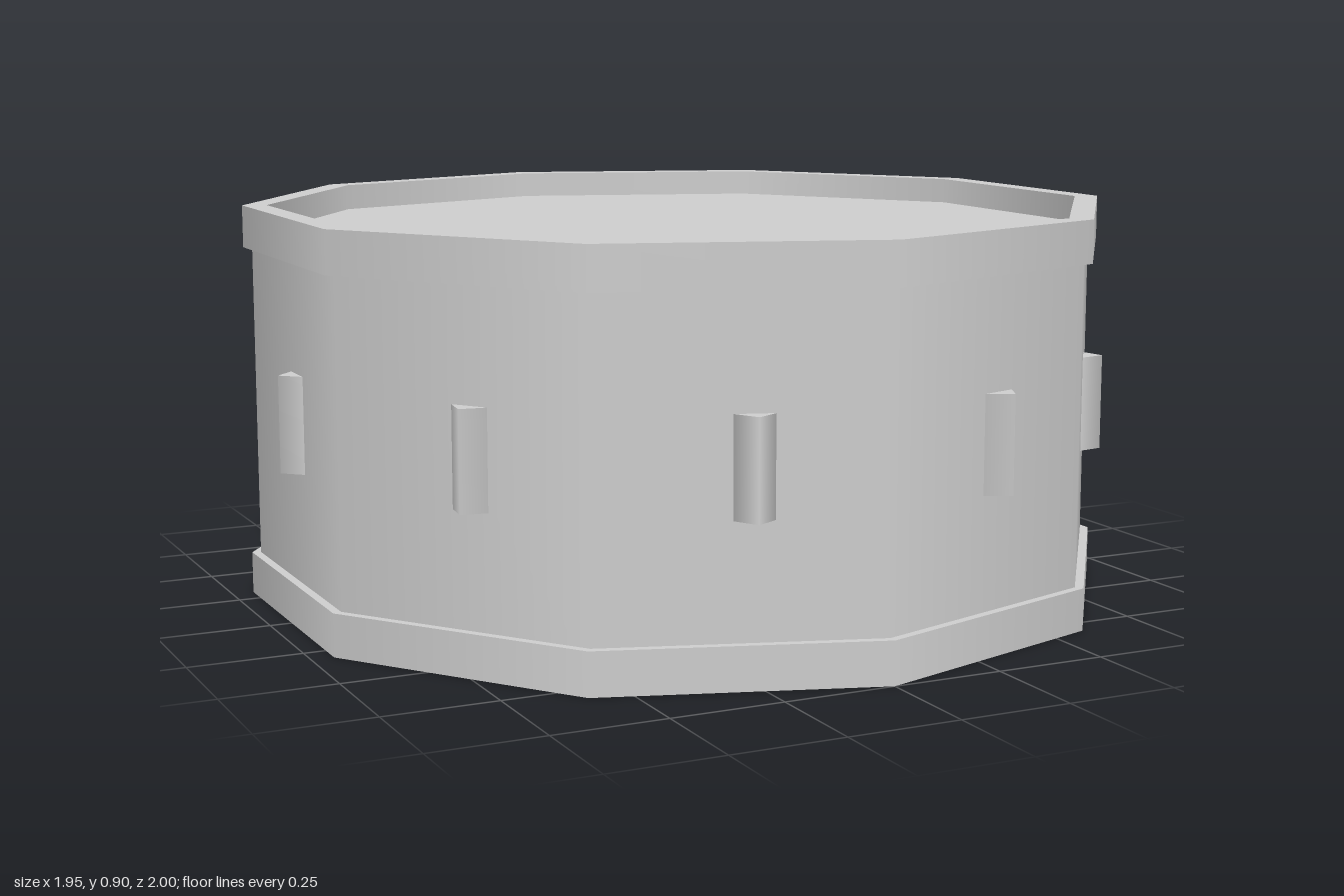
import * as THREE from 'three';
import { mergeGeometries } from 'three/addons/utils/BufferGeometryUtils.js';

const SIDES = 10;

// Lathe each profile edge separately: smooth around the drum, sharp at profile corners
function sharpLathe(points) {
  const edges = [];
  for (let i = 0; i < points.length - 1; i++) {
    const pair = [points[i], points[i + 1]].map(([r, y]) => new THREE.Vector2(r, y));
    edges.push(new THREE.LatheGeometry(pair, SIDES));
  }
  return mergeGeometries(edges);
}

export function createModel() {
  const group = new THREE.Group();
  const grey = new THREE.MeshStandardMaterial({ color: 0xcccccc });
  grey.name = 'light grey';

  const add = (name, geometry, y) => {
    const mesh = new THREE.Mesh(geometry, grey);
    mesh.name = name;
    mesh.position.y = y;
    group.add(mesh);
    return mesh;
  };

  // Closed shell whose end faces are the two recessed drum heads
  add('shell', sharpLathe([[0, 0.06], [0.945, 0.06]]), 0).name = 'bottomHead';
  add('topHead', sharpLathe([[0.945, 0.84], [0, 0.84]]), 0);
  add('shell', sharpLathe([[0.98, 0.06], [0.98, 0.84]]), 0);

  // Hoops standing proud of the shell and the heads
  const hoop = sharpLathe([[0.945, 0], [1, 0], [1, 0.095], [0.945, 0.095], [0.945, 0]]);
  add('bottomHoop', hoop, 0);
  add('topHoop', hoop, 0.805);

  // Four-sided lugs, one near the middle of each side
  const lug = new THREE.CylinderGeometry(0.045, 0.045, 0.215, 4);
  for (let i = 0; i < SIDES; i++) {
    const angle = (i / SIDES) * Math.PI * 2 - 0.028;
    const mesh = add('lug' + (i + 1), lug, 0.452);
    mesh.position.x = 0.93 * Math.cos(angle);
    mesh.position.z = 0.93 * Math.sin(angle);
    mesh.rotation.y = -angle;
  }
  return group;
}
